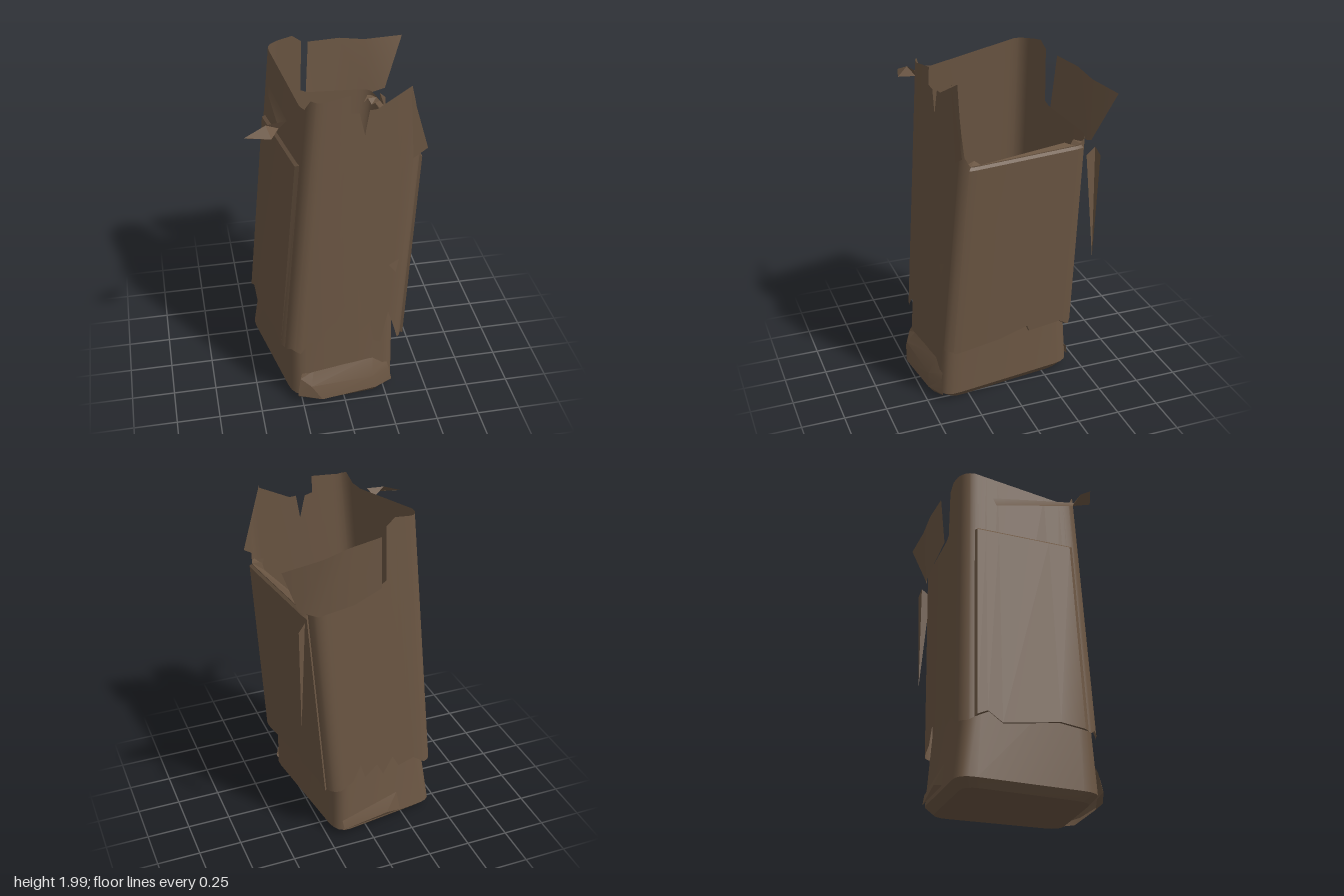
import * as THREE from 'three';
import { toCreasedNormals } from 'three/addons/utils/BufferGeometryUtils.js';

const V = (x, y, z) => new THREE.Vector3(x, y, z);
const ROUND = 0.13;

// Leaning square tubes: corners [x, z] at two heights, in the order
// front -x, front +x, back +x, back -x
const CUP = {
  y0: 0.06, low: [[-0.30, 0.46], [0.32, 0.42], [0.205, -0.435], [-0.46, -0.34]],
  y1: 0.40, high: [[-0.30, 0.435], [0.32, 0.40], [0.20, -0.41], [-0.41, -0.31]],
};
const SHELL = {
  y0: 0.40, low: [[-0.33, 0.455], [0.37, 0.42], [0.255, -0.44], [-0.455, -0.335]],
  y1: 1.55, high: [[-0.225, 0.42], [0.455, 0.34], [0.35, -0.445], [-0.35, -0.325]],
};

function corner(tube, k, y) {
  const i = ((k % 4) + 4) % 4, t = (y - tube.y0) / (tube.y1 - tube.y0);
  const [a, b] = [tube.low[i], tube.high[i]];
  return V(a[0] + (b[0] - a[0]) * t, y, a[1] + (b[1] - a[1]) * t);
}

// Point on a tube: u runs 0..4 around the sides, with rounded corners
function wallPoint(tube, u, y, out = 0) {
  const side = (k, t) => corner(tube, k, y).lerp(corner(tube, k + 1, y), t);
  let k = Math.floor(u), t = u - k;
  if (t > 1 - ROUND) { k += 1; t -= 1; }
  let p;
  if (t < ROUND) {
    const s = (t + ROUND) / (2 * ROUND);
    const c = corner(tube, k, y);
    p = side(k - 1, 1 - ROUND).lerp(c, s).lerp(c.clone().lerp(side(k, ROUND), s), s);
  } else p = side(k, t);
  const mid = side(0, 0.5).add(side(2, 0.5)).multiplyScalar(0.5);
  return p.sub(mid).multiplyScalar(1 + out / 0.4).add(mid);
}

// Height of an edge profile [[u, y], ...] at u
function heightAt(profile, u) {
  for (let i = 0; i < profile.length - 1; i++) {
    const [u0, y0] = profile[i], [u1, y1] = profile[i + 1];
    if (u >= u0 && u <= u1) return y0 + (y1 - y0) * (u - u0) / (u1 - u0 || 1);
  }
  return profile[profile.length - 1][1];
}

const fromTriangles = (points, crease) =>
  toCreasedNormals(new THREE.BufferGeometry().setFromPoints(points), crease);

// Rows of points joined into a sheet
function sheet(rows, crease = 0.6) {
  const out = [];
  for (let r = 0; r < rows.length - 1; r++) {
    for (let i = 0; i < rows[r].length - 1; i++) {
      const a = rows[r][i], b = rows[r][i + 1], c = rows[r + 1][i + 1], d = rows[r + 1][i];
      out.push(a, b, c, a, c, d);
    }
  }
  return fromTriangles(out, crease);
}

function fan(...p) {
  const out = [];
  for (let i = 1; i < p.length - 1; i++) out.push(p[0], p[i], p[i + 1]);
  return fromTriangles(out, 0.3);
}

// Sample positions from u0 to u1, denser at the rounded corners
function samples(u0, u1, ...profiles) {
  const us = [u0, u1];
  for (let k = 0; k <= 4; k++) for (const d of [-1, -0.5, 0, 0.5, 1]) us.push(k + d * ROUND);
  profiles.forEach(p => p.forEach(([u]) => us.push(u)));
  const clean = us.filter(u => u >= u0 && u <= u1).map(u => Math.round(u * 1000) / 1000);
  return [...new Set(clean)].sort((a, b) => a - b);
}

function tornWall(tube, lower, upper) {
  const us = samples(0, 4, lower, upper);
  return sheet([lower, upper].map(edge => us.map(u => wallPoint(tube, u, heightAt(edge, u)))));
}

// Proud side panel with its edges folded back to the wall
function sidePanel(u0, u1, lower, top, out) {
  const us = samples(u0, u1, lower);
  const row = (height, o) => us.map((u, i) =>
    wallPoint(SHELL, u, height(u), i === 0 || i === us.length - 1 ? 0 : o));
  const hem = u => heightAt(lower, u);
  return sheet([row(hem, 0), row(hem, out), row(() => top, out), row(() => top + 0.015, 0)]);
}

export function createModel() {
  const model = new THREE.Group();
  model.name = 'tornHollowTrunk';
  const brown = new THREE.MeshStandardMaterial({ color: 0x6b5643, side: THREE.DoubleSide });
  brown.name = 'brown';
  const add = (name, geometry) => {
    const mesh = new THREE.Mesh(geometry, brown);
    mesh.name = name;
    model.add(mesh);
  };

  // Outer shell: jagged hem at the bottom, ragged rim at the top, low on the +x side
  const hem = [
    [0, 0.4], [0.05, 0.39], [0.11, 0.37], [0.17, 0.44], [0.27, 0.44], [0.29, 0.5], [0.4, 0.57],
    [0.47, 0.7], [0.54, 0.81], [0.59, 0.66], [0.6, 0.47], [0.68, 0.53], [0.73, 0.39], [0.79, 0.37],
    [0.83, 0.58], [0.91, 0.44], [0.95, 0.38], [1.1, 0.37], [1.4, 0.39], [1.6, 0.43], [1.62, 0.39],
    [1.85, 0.4], [1.92, 0.36], [2.1, 0.36], [2.22, 0.4], [2.3, 0.5], [2.33, 0.4], [2.45, 0.46],
    [2.5, 0.38], [2.6, 0.48], [2.65, 0.4], [2.8, 0.42], [2.9, 0.36], [3.05, 0.36], [3.2, 0.42],
    [3.3, 0.36], [3.7, 0.41], [3.95, 0.38], [4, 0.4],
  ];
  const rim = [
    [0, 1.97], [0.1, 1.96], [0.34, 1.98], [0.35, 1.88], [0.42, 1.87], [0.48, 1.74], [0.5, 1.88],
    [0.56, 1.88], [0.83, 1.98], [1, 1.6], [1.06, 1.55], [1.9, 1.55], [2.03, 1.58], [2.6, 1.63],
    [2.66, 1.65], [2.69, 1.96], [2.77, 2], [2.95, 1.98], [3.1, 1.98], [3.83, 1.9], [3.93, 1.91],
    [4, 1.97],
  ];
  add('outerShell', tornWall(SHELL, hem, rim));
  add('rightPanel', sidePanel(1.06, 1.94, hem, 1.53, 0.014));
  add('leftPanel', sidePanel(3.1, 3.92, hem, 1.57, 0.016));

  // Thin fold turned inwards along the low side
  const foldUs = samples(0.95, 2.05);
  add('rimFold', sheet([
    foldUs.map(u => wallPoint(SHELL, u, 1.55)),
    foldUs.map((u, i) => wallPoint(SHELL, u, i % 2 ? 1.53 : 1.56, -0.05)),
  ]));

  // Inner cup rising inside the shell
  add('innerCup', tornWall(CUP, [[0, 0.055], [4, 0.055]],
    [[0, 0.7], [0.5, 0.86], [1, 0.7], [1.5, 0.62], [2, 0.7], [3, 0.6], [4, 0.7]]));

  // Bevelled foot and floor
  const us = samples(0, 4);
  const foot = us.map(u => wallPoint(CUP, u, 0.008, -0.045));
  add('footBevel', sheet([foot, us.map(u => wallPoint(CUP, u, 0.055))]));
  add('floor', fan(...foot.slice().reverse()));

  // Bulges at the foot, front and back
  add('frontToe', sheet([
    [V(-0.27, 0.03, 0.44), V(-0.14, 0.012, 0.47), V(0.18, 0.012, 0.44), V(0.28, 0.03, 0.40)],
    [V(-0.28, 0.07, 0.475), V(-0.14, 0.05, 0.512), V(0.19, 0.06, 0.475), V(0.3, 0.06, 0.42)],
    [V(-0.26, 0.18, 0.455), V(-0.2, 0.14, 0.49), V(0.17, 0.14, 0.465), V(0.28, 0.15, 0.42)],
    [V(-0.25, 0.21, 0.445), V(-0.18, 0.215, 0.44), V(0.18, 0.25, 0.415), V(0.27, 0.19, 0.41)],
  ], 0.3));
  add('backToe', fan(V(-0.12, 0.1, -0.415), V(0.16, 0.07, -0.435), V(0.17, 0.13, -0.425),
    V(-0.2, 0.2, -0.37), V(-0.22, 0.07, -0.385), V(0.16, 0.07, -0.435)));

  // Back rim bent outwards to a point
  add('backFlare', sheet([
    [V(0.41, 1.59, -0.42), V(0.31, 1.55, -0.44), V(0.1, 1.57, -0.42), V(-0.07, 1.62, -0.385)],
    [V(0.525, 1.88, -0.51), V(0.29, 1.89, -0.47), V(0.14, 1.92, -0.45), V(-0.05, 1.93, -0.41)],
  ]));

  // Torn flaps and hanging shreds
  add('frontCornerFlap', fan(V(0.36, 1.98, 0.355), V(0.39, 1.56, 0.35), V(0.47, 1.61, 0.34)));
  add('hangingShred', fan(V(0.42, 0.88, -0.45), V(0.43, 1.5, -0.47), V(0.39, 1.54, -0.455), V(0.40, 1.5, -0.40)));
  add('sideShred', sheet([
    [V(-0.32, 1.76, -0.12), V(-0.33, 1.81, 0.34), V(-0.38, 1.8, 0.43), V(-0.515, 1.8, 0.395)],
    [V(-0.315, 1.81, -0.14), V(-0.29, 1.86, 0.36), V(-0.4, 1.85, 0.37), V(-0.515, 1.802, 0.395)],
  ]));
  add('frontNick', fan(V(0.26, 0.91, 0.41), V(0.32, 0.94, 0.40), V(0.3, 0.86, 0.415)));

  return model;
}
